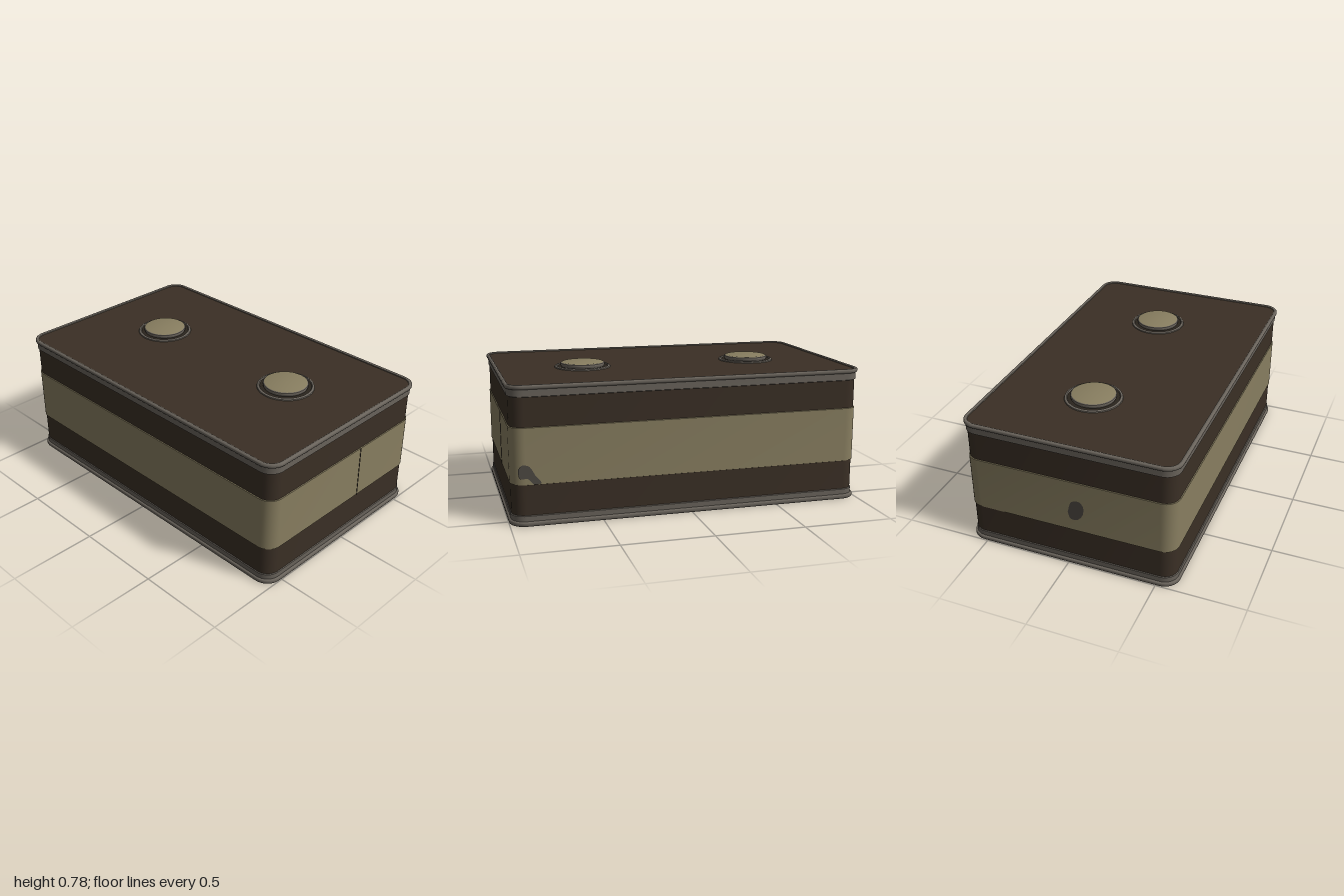
import * as THREE from 'three';
import { toCreasedNormals } from 'three/addons/utils/BufferGeometryUtils.js';

const HX = 0.985, HZ = 0.595, R = 0.075, CORNER_STEPS = 8;

// Plan outline of the tin, grown outward by an offset
function outline(off) {
  const pts = [], r = R + off;
  const corners = [[1, 1], [-1, 1], [-1, -1], [1, -1]];
  corners.forEach(([sx, sy], c) => {
    for (let k = 0; k <= CORNER_STEPS; k++) {
      const a = (c + k / CORNER_STEPS) * Math.PI / 2;
      pts.push(new THREE.Vector2(sx * (HX - R) + r * Math.cos(a), sy * (HZ - R) + r * Math.sin(a)));
    }
  });
  return pts;
}

// Sweep an [offset, y] profile round the outline
function wall(profile) {
  const pos = [], idx = [];
  const rings = profile.map(([off, y]) => outline(off).map(p => [p.x, y, -p.y]));
  const n = rings[0].length;
  rings.forEach(ring => ring.forEach(p => pos.push(...p)));
  for (let i = 0; i < rings.length - 1; i++) {
    for (let j = 0; j < n; j++) {
      const a = i * n + j, b = i * n + (j + 1) % n;
      idx.push(a, b, b + n, a, b + n, a + n);
    }
  }
  const g = new THREE.BufferGeometry();
  g.setAttribute('position', new THREE.Float32BufferAttribute(pos, 3));
  g.setIndex(idx);
  return toCreasedNormals(g, 0.7);
}

// Flat panel filling the outline, facing up or down
function panel(off, y, up) {
  const g = new THREE.ShapeGeometry(new THREE.Shape(outline(off)));
  g.rotateX(up ? -Math.PI / 2 : Math.PI / 2);
  return g.translate(0, y, 0);
}

export function createModel() {
  const mat = (name, color) => {
    const m = new THREE.MeshStandardMaterial({ color });
    m.name = name;
    return m;
  };
  const brown = mat('dark brown', 0x3a2f25);
  const tan = mat('tan', 0x887e60);
  const metal = mat('dull metal', 0x69635b);
  const baseGrey = mat('base grey', 0x4b4a45);
  const black = mat('seam dark', 0x2a241d);
  const stain = mat('worn grey', 0x4d4842);

  const model = new THREE.Group();
  const add = (name, geometry, material, parent = model) => {
    const m = new THREE.Mesh(geometry, material);
    m.name = name;
    parent.add(m);
    return m;
  };

  // Tin body and the wrapped label
  add('body', wall([[0, 0.02], [0, 0.74]]), brown);
  add('label', wall([[0, 0.225], [0.005, 0.227], [0.005, 0.533], [0, 0.535]]), tan);

  // Bottom rim, its collar and the base panel
  add('bottomRim', wall([[-0.012, 0.008], [-0.01, 0.002], [-0.002, 0], [0.009, 0], [0.013, 0.003],
    [0.015, 0.008], [0.015, 0.018], [0.013, 0.023], [0.009, 0.026], [0, 0.026]]), metal);
  add('bottomCollar', wall([[0.004, 0.024], [0.004, 0.055], [0, 0.059]]), metal);
  add('basePanel', panel(-0.01, 0.006, false), baseGrey);

  // Lid skirt, rolled rim and the lid panel set just inside it
  add('lidSkirt', wall([[0, 0.694], [0.006, 0.697], [0.006, 0.74]]), metal);
  add('lidRim', wall([[0, 0.735], [0.009, 0.735], [0.013, 0.738], [0.015, 0.743], [0.015, 0.751],
    [0.013, 0.756], [0.009, 0.759], [0.001, 0.759], [-0.004, 0.756], [-0.006, 0.748]]), metal);
  add('lidPanel', panel(-0.003, 0.751, true), brown);

  // Two round caps, each in a metal ring with a dark groove
  const lathe = pts => toCreasedNormals(
    new THREE.LatheGeometry(pts.map(p => new THREE.Vector2(...p)), 48), 0.6);
  for (const side of [-1, 1]) {
    const cap = new THREE.Group();
    cap.name = side > 0 ? 'leftCap' : 'rightCap';
    cap.position.set(side * 0.5, 0.75, -0.053);
    add('capRing', lathe([[0.162, 0], [0.16, 0.007], [0.154, 0.011], [0.148, 0.011], [0.144, 0.004]]), metal, cap);
    add('capGroove', lathe([[0.146, 0.005], [0.12, 0.006]]), black, cap);
    add('capEdge', lathe([[0.122, 0.004], [0.127, 0.014], [0.128, 0.021], [0.126, 0.026], [0.121, 0.029]]), metal, cap);
    add('capTop', lathe([[0.121, 0.029], [0.115, 0.031], [0, 0.031]]), tan, cap);
    model.add(cap);
  }

  // Overlap seam of the label
  const seam = add('labelSeam', new THREE.BoxGeometry(0.004, 0.308, 0.005), black);
  seam.position.set(HX + 0.005, 0.38, -0.126);

  // Worn patches on the label
  const patch = pts => new THREE.ShapeGeometry(
    new THREE.Shape(new THREE.SplineCurve(pts.map(p => new THREE.Vector2(...p))).getPoints(32)));
  const sidePatch = add('sideWear', patch([[-0.045, -0.02], [-0.03, -0.06], [0.01, -0.058], [0.04, -0.02],
    [0.045, 0.03], [0.02, 0.06], [-0.025, 0.045], [-0.045, -0.02]]), stain);
  sidePatch.rotation.y = -Math.PI / 2;
  sidePatch.position.set(-HX - 0.007, 0.36, 0.05);
  const backPatch = add('backWear', patch([[-0.04, 0.03], [-0.035, -0.02], [0.01, -0.025], [0.04, -0.055],
    [0.08, -0.05], [0.05, -0.01], [0.02, 0.04], [-0.02, 0.05], [-0.04, 0.03]]), stain);
  backPatch.rotation.y = Math.PI;
  backPatch.position.set(0.91, 0.285, -HZ - 0.007);

  return model;
}
